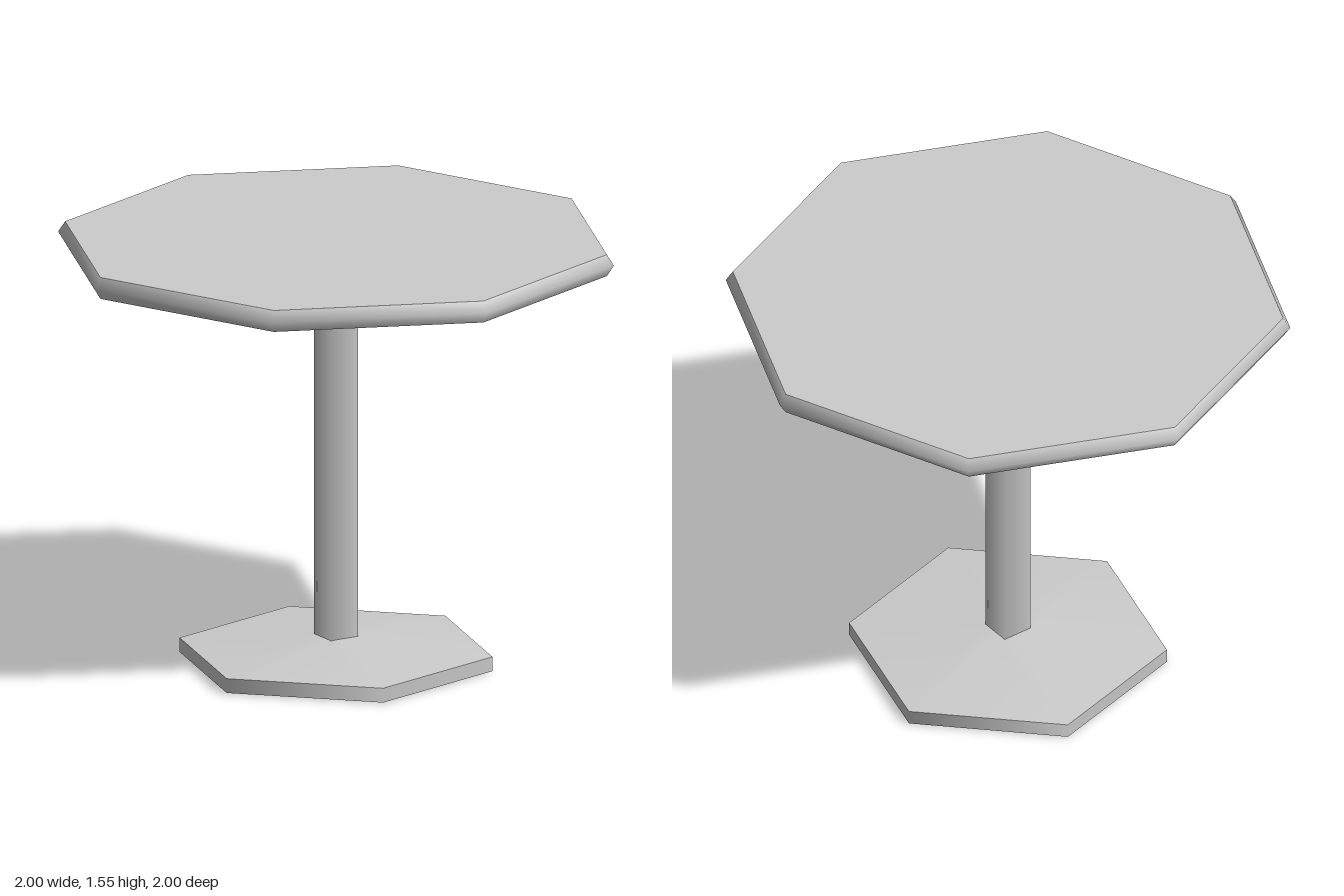
import * as THREE from 'three';

export function createModel() {
  const model = new THREE.Group();
  const grey = new THREE.MeshStandardMaterial({ color: 0xcccccc });
  grey.name = 'plain grey';

  const add = (name, geometry, y = 0) => {
    const mesh = new THREE.Mesh(geometry, grey);
    mesh.name = name;
    mesh.position.y = y;
    model.add(mesh);
    return mesh;
  };
  const lathe = (points, sides, start = 0) =>
    new THREE.LatheGeometry(points.map(([r, y]) => new THREE.Vector2(r, y)), sides, start);
  // Flat polygon facing up (or down), with corners on the x axis
  const disc = (radius, sides, up = true) =>
    new THREE.CircleGeometry(radius, sides).rotateX(up ? -Math.PI / 2 : Math.PI / 2);

  // Octagonal top: flat faces and a smoothly shaded bevelled rim
  add('tableTopRim', lathe([[0.975, 1.467], [1, 1.506], [0.975, 1.545]], 8));
  add('tableTopSurface', disc(0.975, 8), 1.545);
  add('tableTopUnderside', disc(0.975, 8, false), 1.467);

  // Hexagonal plate set almost flush into the top
  add('mountingPlate', disc(0.3, 6), 1.546);

  // Four-sided post, corners on the axes
  add('post', new THREE.CylinderGeometry(0.08, 0.08, 1.468, 4), 0.734);

  // Hexagonal foot: vertical rim and a shallow sloping top
  add('footRim', lathe([[0.563, 0.003], [0.563, 0.055]], 6, Math.PI / 2));
  add('footSlope', lathe([[0.563, 0.055], [0.08, 0.1], [0, 0.1]], 6, Math.PI / 2));
  add('footUnderside', disc(0.563, 6, false), 0.003);

  return model;
}
